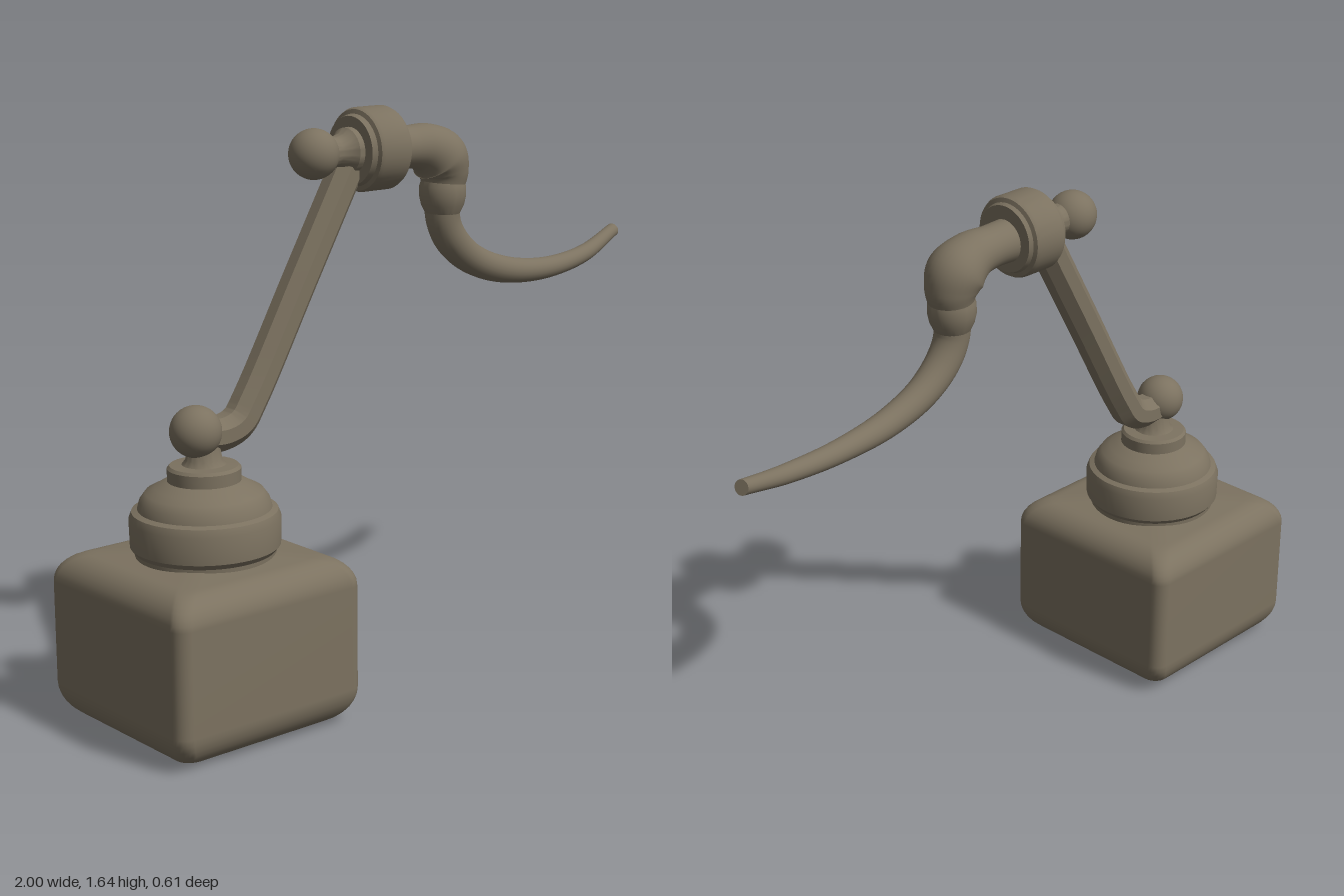
import * as THREE from 'three';
import { toCreasedNormals } from 'three/addons/utils/BufferGeometryUtils.js';

const V = (x, y, z = 0) => new THREE.Vector3(x, y, z);

// Skins a stack of rings (counter-clockwise about the stacking direction) and caps both ends.
function loft(rings, crease) {
  const n = rings[0].length, pos = [], idx = [];
  rings.forEach(r => r.forEach(p => pos.push(p.x, p.y, p.z)));
  for (let i = 0; i < rings.length - 1; i++) {
    for (let j = 0; j < n; j++) {
      const k = (j + 1) % n, a = i * n + j, b = i * n + k;
      idx.push(a, b, b + n, a, b + n, a + n);
    }
  }
  [rings[0], rings[rings.length - 1]].forEach((ring, end) => {
    const s = pos.length / 3, c = V(0, 0);
    ring.forEach(p => { c.add(p); pos.push(p.x, p.y, p.z); });
    c.divideScalar(n);
    pos.push(c.x, c.y, c.z);
    for (let j = 0; j < n; j++) {
      const k = (j + 1) % n;
      if (end) idx.push(s + j, s + k, s + n);
      else idx.push(s + k, s + j, s + n);
    }
  });
  const g = new THREE.BufferGeometry();
  g.setAttribute('position', new THREE.Float32BufferAttribute(pos, 3));
  g.setIndex(idx);
  g.computeVertexNormals();
  return crease ? toCreasedNormals(g, crease) : g;
}

// Sweeps a polygon along a smooth path; each path entry is [x, y, z, radius].
function sweep(path, sides, steps, turn = 0, crease = 0) {
  const curve = new THREE.CatmullRomCurve3(path.map(p => V(p[0], p[1], p[2])));
  const radii = new THREE.SplineCurve(path.map((p, i) => new THREE.Vector2(i, p[3])));
  const rings = [];
  for (let i = 0; i <= steps; i++) {
    const t = i / steps, c = curve.getPoint(t), T = curve.getTangent(t), r = radii.getPoint(t).y;
    const N = T.clone().cross(V(0, 0, 1)).normalize(), B = T.clone().cross(N);
    rings.push(Array.from({ length: sides }, (_, j) => {
      const a = turn + j / sides * Math.PI * 2;
      return c.clone().addScaledVector(N, r * Math.cos(a)).addScaledVector(B, r * Math.sin(a));
    }));
  }
  return loft(rings, crease);
}

// Rounded rectangle ring at height y
function squareRing(x, y, half, r) {
  const ring = [];
  for (let q = 0; q < 4; q++) {
    const m = (q + 0.5) * Math.PI / 2;
    const cx = Math.sign(Math.sin(m)) * (half - r), cz = Math.sign(Math.cos(m)) * (half - r);
    for (let s = 0; s <= 6; s++) {
      const a = (q + s / 6) * Math.PI / 2;
      ring.push(V(x + cx + r * Math.sin(a), y, cz + r * Math.cos(a)));
    }
  }
  return ring;
}

const lathe = (pts, crease = 0.6) => toCreasedNormals(
  new THREE.LatheGeometry(pts.map(p => new THREE.Vector2(p[0], p[1])), 48), crease);

export function createModel() {
  const group = new THREE.Group();
  const bronze = new THREE.MeshStandardMaterial({ color: 0x7c7260 });
  bronze.name = 'dull bronze';
  const add = (name, geometry, x = 0, y = 0, z = 0) => {
    const m = new THREE.Mesh(geometry, bronze);
    m.name = name;
    m.position.set(x, y, z);
    group.add(m);
    return m;
  };

  // Block base with soft top and bottom edges
  const rings = [], baseX = -0.695;
  for (let i = 0; i <= 8; i++) {
    const a = i / 8 * Math.PI / 2;
    rings.push(squareRing(baseX, 0.1 - 0.1 * Math.cos(a), 0.215 + 0.09 * Math.sin(a), 0.04));
  }
  for (let i = 0; i <= 8; i++) {
    const a = i / 8 * Math.PI / 2;
    rings.push(squareRing(baseX, 0.39 + 0.08 * Math.sin(a), 0.22 + 0.085 * Math.cos(a), 0.04));
  }
  rings.push(squareRing(baseX, 0.48, 0.12, 0.04));
  add('base', loft(rings));

  // Stepped pedestal
  add('pedestal', lathe([[0, 0.44], [0.19, 0.44], [0.192, 0.485], [0.204, 0.5], [0.206, 0.575],
    [0.198, 0.596], [0.182, 0.602], [0.176, 0.625], [0.16, 0.647], [0.135, 0.66], [0.115, 0.672],
    [0.1, 0.678], [0.1, 0.712], [0.093, 0.72], [0.06, 0.722], [0.05, 0.735], [0.044, 0.77], [0, 0.78]]),
  -0.69);
  add('lowerBall', new THREE.SphereGeometry(0.071, 32, 20), -0.715, 0.815);

  // Faceted arm, bent just above the pedestal
  add('arm', sweep([[-0.7, 0.8, 0, 0.05], [-0.63, 0.798, 0, 0.05], [-0.575, 0.818, 0, 0.051],
    [-0.53, 0.878, 0, 0.051], [-0.35, 1.19, 0, 0.051], [-0.165, 1.51, 0, 0.051]],
  8, 40, Math.PI / 8, 0.5));

  // Ball finial and collar, turned about the x axis
  add('upperBall', new THREE.SphereGeometry(0.07, 32, 20), -0.305, 1.522, 0.005);
  const turned = (name, pts) => { add(name, lathe(pts), 0, 1.522, 0.007).rotation.z = -Math.PI / 2; };
  turned('finialNeck', [[0, -0.27], [0.045, -0.255], [0.042, -0.235], [0.05, -0.21], [0.064, -0.195],
    [0.066, -0.16], [0, -0.16]]);
  turned('collar', [[0, -0.178], [0.095, -0.178], [0.1, -0.162], [0.112, -0.158], [0.117, -0.148],
    [0.117, -0.06], [0.112, -0.05], [0.1, -0.046], [0.095, -0.034], [0, -0.034]]);

  // Elbow, joint bead and tapering curved spout
  add('elbow', sweep([[-0.06, 1.517, 0.005, 0.062], [0.03, 1.516, 0.005, 0.06], [0.1, 1.508, 0.005, 0.07],
    [0.153, 1.477, 0.005, 0.083], [0.172, 1.435, 0.005, 0.074], [0.172, 1.39, 0.005, 0.062]], 32, 40));
  add('jointBead', lathe([[0, -0.065], [0.05, -0.06], [0.062, -0.035], [0.068, -0.008], [0.067, 0.02],
    [0.059, 0.045], [0, 0.05]], 1), 0.17, 1.375, 0.005);
  add('spout', sweep([[0.168, 1.36, 0.005, 0.053], [0.175, 1.29, 0.004, 0.05], [0.21, 1.23, 0.003, 0.049],
    [0.29, 1.168, 0, 0.045], [0.42, 1.121, -0.001, 0.04], [0.6, 1.103, -0.008, 0.033],
    [0.8, 1.121, -0.035, 0.027], [0.99, 1.17, -0.088, 0.021]], 24, 56));

  return group;
}
